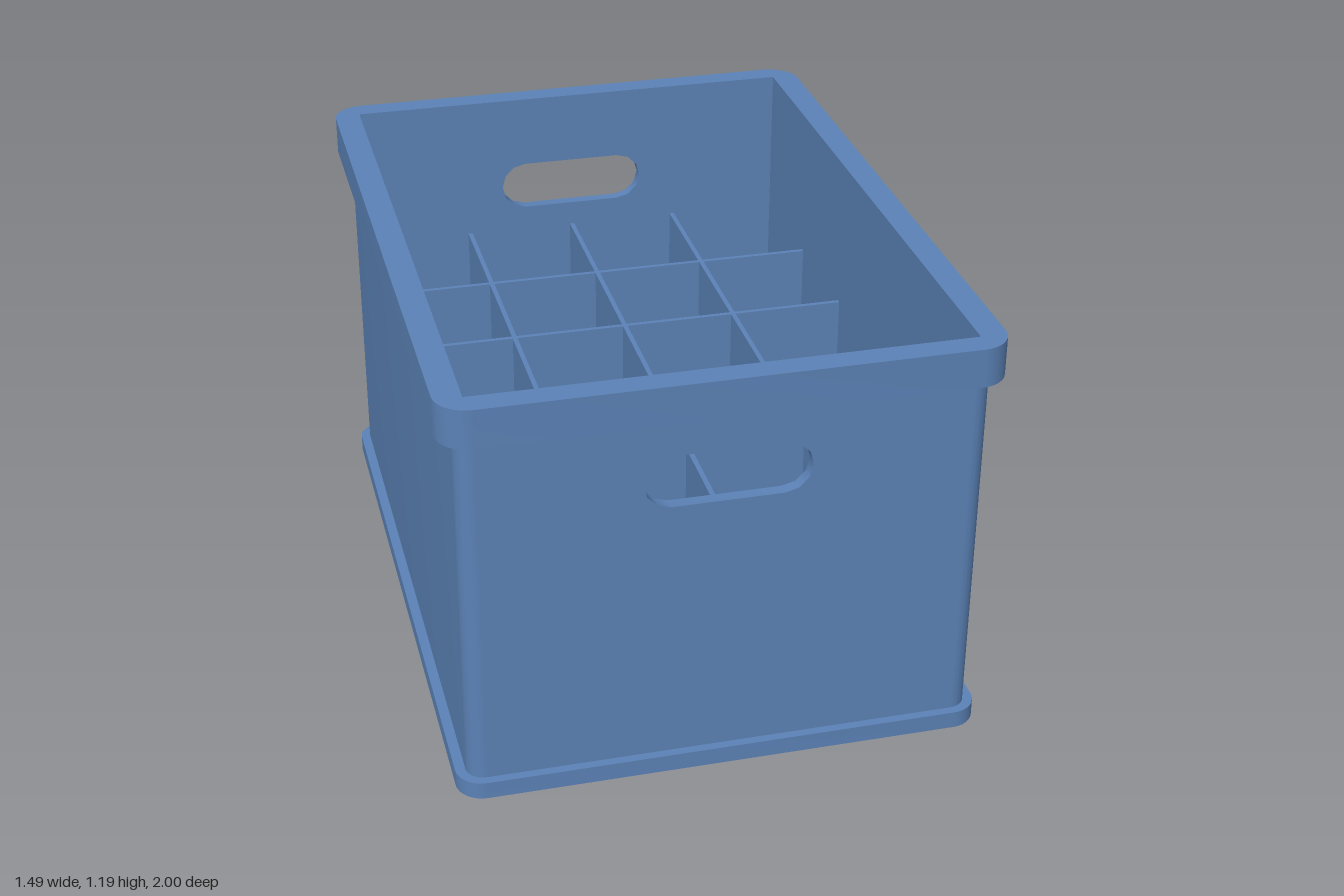
import * as THREE from 'three';
import { toCreasedNormals } from 'three/addons/utils/BufferGeometryUtils.js';

// Inner cavity half sizes
const IX = 0.67, IZ = 0.93;
// Wall outer half sizes and corner radius
const WX = 0.702, WZ = 0.965, WR = 0.05;
const BASE_TOP = 0.05, RIM_BOTTOM = 1.08, TOP = 1.19;

function roundedRect(hx, hy, r, segments = 8) {
  const s = new THREE.Shape();
  [[1, 1, 0], [-1, 1, 1], [-1, -1, 2], [1, -1, 3]].forEach(([sx, sy, q]) => {
    for (let i = 0; i <= segments; i++) {
      const a = (q + i / segments) * Math.PI / 2;
      const x = sx * (hx - r) + Math.cos(a) * r, y = sy * (hy - r) + Math.sin(a) * r;
      if (q === 0 && i === 0) s.moveTo(x, y); else s.lineTo(x, y);
    }
  });
  return s;
}

function rectHole(hx, hy) {
  return new THREE.Path([[-hx, -hy], [-hx, hy], [hx, hy], [hx, -hy]].map(p => new THREE.Vector2(...p)));
}

// Extrude a plan shape upward between two heights
function extrudeUp(shape, y0, y1) {
  const g = new THREE.ExtrudeGeometry(shape, { depth: y1 - y0, bevelEnabled: false, curveSegments: 8 });
  g.rotateX(-Math.PI / 2).translate(0, y0, 0);
  return toCreasedNormals(g, 0.5);
}

export function createModel() {
  const group = new THREE.Group();
  group.name = 'dividedCrate';
  const plastic = new THREE.MeshStandardMaterial({ color: 0x5b82b6 });
  plastic.name = 'bluePlastic';

  const add = (name, geometry) => {
    const mesh = new THREE.Mesh(geometry, plastic);
    mesh.name = name;
    group.add(mesh);
    return mesh;
  };
  const addBox = (name, w, h, d, x, y, z) =>
    add(name, new THREE.BoxGeometry(w, h, d)).position.set(x, y, z);

  // Foot ring and top rim
  const foot = roundedRect(0.73, 0.99, 0.075);
  foot.holes.push(rectHole(IX, IZ));
  add('footRing', extrudeUp(foot, 0, BASE_TOP));
  const rim = roundedRect(0.745, 1, 0.09);
  rim.holes.push(rectHole(IX, IZ));
  add('topRim', extrudeUp(rim, RIM_BOTTOM, TOP));

  // Floor, raised above the ground inside the foot ring
  addBox('floor', IX * 2, 0.03, IZ * 2, 0, 0.045, 0);

  // Side walls including the rounded corners
  const cx = WX - WR, cz = WZ - WR;
  const side = new THREE.Shape();
  side.moveTo(cx, -WZ);
  side.absarc(cx, -cz, WR, -Math.PI / 2, 0, false);
  side.absarc(cx, cz, WR, 0, Math.PI / 2, false);
  side.lineTo(cx, IZ);
  side.lineTo(IX, IZ);
  side.lineTo(IX, -IZ);
  side.lineTo(cx, -IZ);
  side.closePath();
  const sideGeometry = extrudeUp(side, BASE_TOP, RIM_BOTTOM);
  add('leftWall', sideGeometry);
  add('rightWall', sideGeometry).rotation.y = Math.PI;

  // Front and back walls with slotted handles
  const end = new THREE.Shape([[-cx, BASE_TOP], [cx, BASE_TOP], [cx, RIM_BOTTOM], [-cx, RIM_BOTTOM]]
    .map(p => new THREE.Vector2(...p)));
  const slot = roundedRect(0.225, 0.075, 0.075, 3).getPoints()
    .map(p => p.add(new THREE.Vector2(0, 0.895)));
  end.holes.push(new THREE.Path(slot.reverse()));
  const endGeometry = toCreasedNormals(
    new THREE.ExtrudeGeometry(end, { depth: WZ - IZ, bevelEnabled: false }).translate(0, 0, IZ), 0.6);
  add('frontWall', endGeometry);
  add('backWall', endGeometry).rotation.y = Math.PI;

  // Bottle dividers
  const y0 = 0.06, y1 = 0.745, t = 0.014;
  for (let i = 1; i < 4; i++)
    addBox('lengthDivider' + i, t, y1 - y0, IZ * 2, -IX + i * IX / 2, (y0 + y1) / 2, 0);
  for (let i = 1; i < 5; i++)
    addBox('crossDivider' + i, IX * 2, y1 - y0, t, 0, (y0 + y1) / 2, -IZ + i * IZ * 0.4);

  return group;
}
